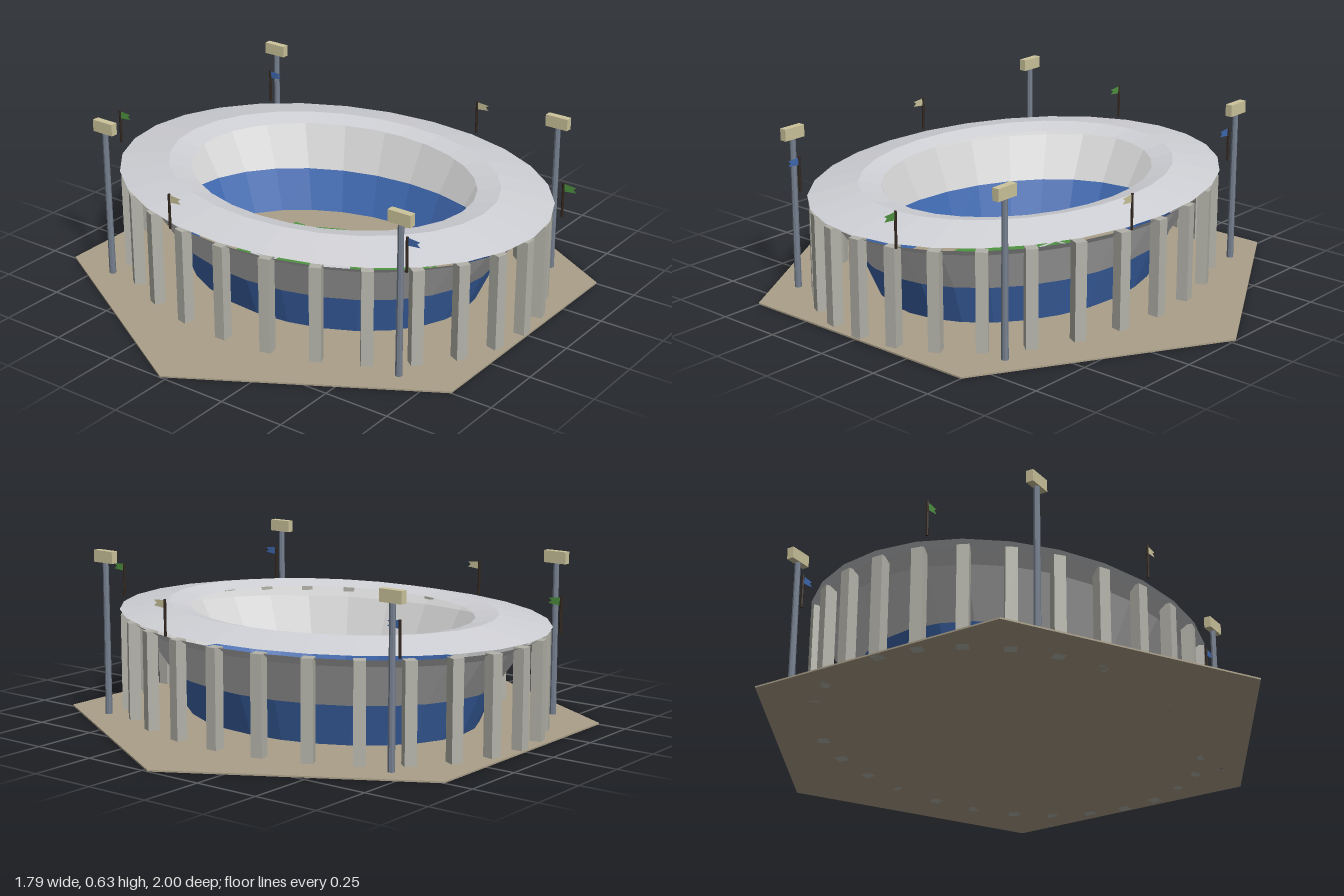
import * as THREE from 'three';

const SQUASH = 0.78; // depth / width ratio of the oval
const SIDES = 28;

function mat(name, color) {
  const m = new THREE.MeshStandardMaterial({ color, flatShading: true, side: THREE.DoubleSide });
  m.name = name;
  return m;
}

export function createModel() {
  const model = new THREE.Group();
  model.name = 'stadium';
  const arena = new THREE.Group();
  arena.name = 'arena';
  arena.position.x = -0.024;
  model.add(arena);

  const sand = mat('sand', 0xab9f89);
  const green = mat('grass green', 0x4f9440);
  const blue = mat('seat blue', 0x3f69b0);
  const stone = mat('pillar stone', 0xb4b3aa);
  const concrete = mat('stand concrete', 0xcbcbcb);
  const roofGrey = mat('roof grey', 0xd0d1d6);
  const slate = mat('mast slate', 0x768090);
  const cream = mat('cream', 0xcdc49c);
  const dark = mat('flagpole brown', 0x33271f);

  function add(name, geometry, material, x = 0, y = 0, z = 0, parent = arena) {
    const mesh = new THREE.Mesh(geometry, material);
    mesh.name = name;
    mesh.position.set(x, y, z);
    parent.add(mesh);
    return mesh;
  }
  const box = (w, h, d) => new THREE.BoxGeometry(w, h, d);

  // Oval ring swept from a radius/height profile
  function ovalRing(name, profile, material) {
    const points = profile.map(([r, y]) => new THREE.Vector2(r, y));
    add(name, new THREE.LatheGeometry(points, SIDES), material).scale.z = SQUASH;
  }

  // Hexagonal ground
  add('ground', new THREE.CylinderGeometry(1, 1, 0.006, 6), sand, 0, 0.003, 0);

  // Pitch with end strips and markings
  add('pitch', new THREE.CylinderGeometry(0.411, 0.411, 0.01, SIDES), green, 0, 0.011, 0).scale.z = SQUASH;
  for (const s of [-1, 1]) {
    add('pitchEndStrip', box(0.048, 0.01, 0.47), green, s * 0.332, 0.012, 0);
    for (const x of [0.218, 0.322]) add('boxSideLine', box(0.009, 0.003, 0.185), roofGrey, s * x, 0.0185, 0);
    for (const z of [-0.088, 0.088]) add('boxEndLine', box(0.113, 0.003, 0.009), roofGrey, s * 0.27, 0.0185, z);
  }
  add('halfwayLine', box(0.016, 0.003, 0.476), roofGrey, 0, 0.0185, 0);
  add('centreSpot', new THREE.CylinderGeometry(0.069, 0.069, 0.004, 24), roofGrey, 0, 0.019, 0);

  // Stands, rim and floating roof
  ovalRing('lowerStand', [[0.594, 0.018], [0.667, 0.175]], blue);
  ovalRing('upperStand', [[0.667, 0.175], [0.785, 0.335]], concrete);
  ovalRing('standRim', [[0.785, 0.335], [0.845, 0.37]], concrete);
  ovalRing('roof', [[0.87, 0.389], [0.665, 0.424], [0.573, 0.406]], roofGrey);

  // Pillars around the oval
  const pillar = box(0.043, 0.372, 0.043);
  for (let i = 0; i < SIDES; i++) {
    const a = (i / SIDES) * Math.PI * 2;
    add('pillar', pillar, stone, 0.84 * Math.sin(a), 0.186, 0.84 * SQUASH * Math.cos(a)).rotation.y = a;
  }

  // Floodlights at the four corners
  for (const sx of [-1, 1]) for (const sz of [-1, 1]) {
    const light = new THREE.Group();
    light.name = 'floodlight';
    light.position.set(sx * 0.659, 0, sz * 0.513);
    add('mast', new THREE.CylinderGeometry(0.011, 0.013, 0.59, 8), slate, 0, 0.295, 0, light);
    add('lampHead', box(0.092, 0.045, 0.027), cream, 0, 0.604, 0, light);
    arena.add(light);
  }

  // Swallow-tailed flags on the roof edge
  const cloth = new THREE.Shape();
  cloth.moveTo(0, 0);
  cloth.lineTo(0.053, 0.005);
  cloth.lineTo(0.04, 0.016);
  cloth.lineTo(0.053, 0.025);
  cloth.lineTo(0, 0.03);
  const clothGeometry = new THREE.ShapeGeometry(cloth);
  for (let k = 0; k < 6; k++) {
    const a = 0.3 + (k * Math.PI) / 3;
    const flag = new THREE.Group();
    flag.name = 'flag';
    flag.position.set(0.905 * Math.cos(a) - 0.002, 0.388, -0.705 * Math.sin(a));
    add('flagpole', new THREE.CylinderGeometry(0.005, 0.005, 0.132, 6), dark, 0, 0.066, 0, flag);
    add('flagCloth', clothGeometry, [green, cream, blue][k % 3], 0, 0.1, 0, flag);
    arena.add(flag);
  }

  return model;
}
